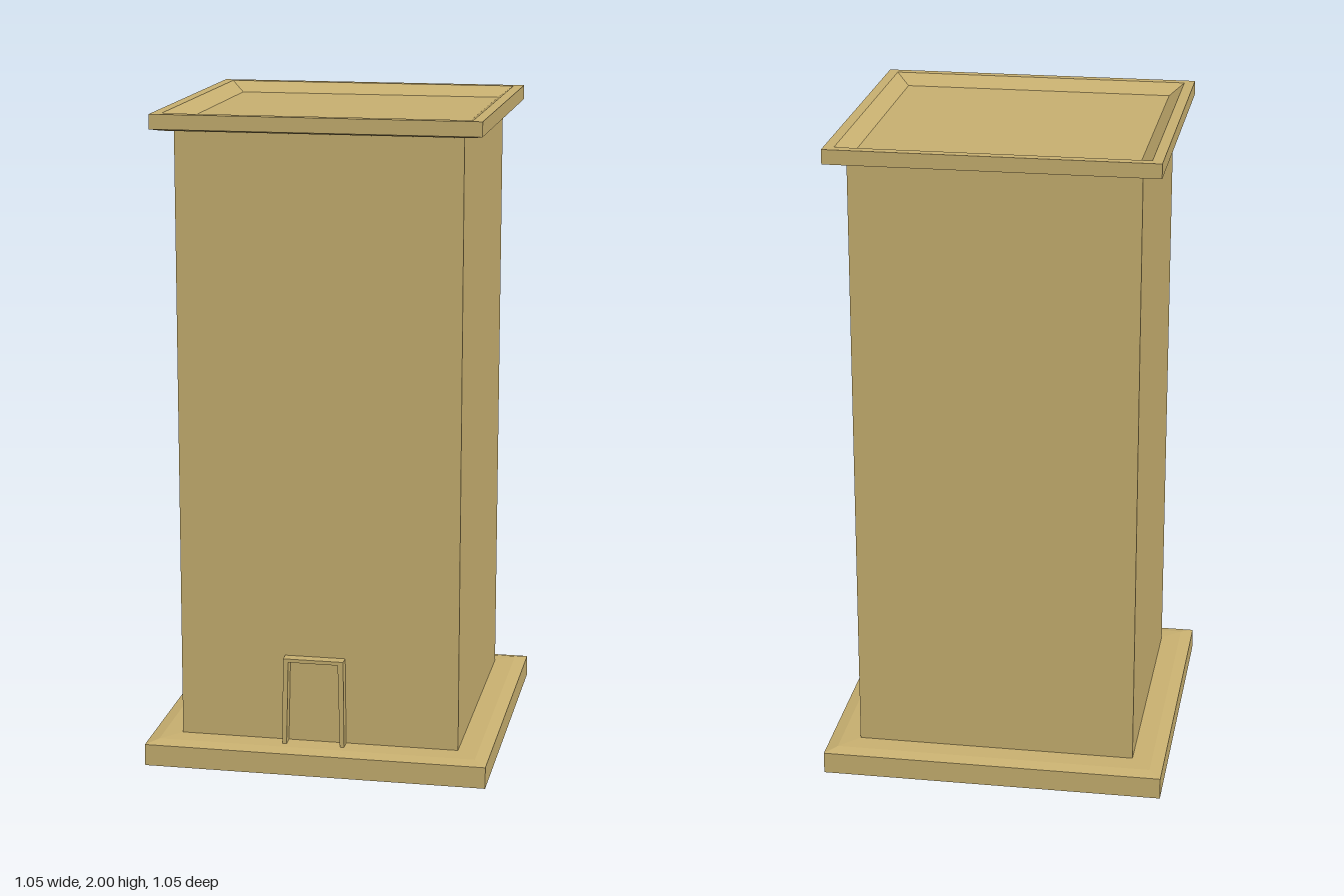
import * as THREE from 'three';

const sandstone = new THREE.MeshStandardMaterial({ color: 0xc8b070, flatShading: true });

// Square solid swept from a profile of [half width, height] points, bottom to top
function squareSweep(name, profile) {
  const points = profile.map(([half, y]) => new THREE.Vector2(half * Math.SQRT2, y));
  const geometry = new THREE.LatheGeometry(points, 4, Math.PI / 4).toNonIndexed();
  geometry.computeVertexNormals();
  const mesh = new THREE.Mesh(geometry, sandstone);
  mesh.name = name;
  return mesh;
}

export function createModel() {
  const tower = new THREE.Group();
  tower.name = 'tower';

  // Plinth with a gently sloped top
  tower.add(squareSweep('plinth', [
    [0, 0], [0.527, 0], [0.527, 0.067], [0.49, 0.076], [0.43, 0.079],
  ]));

  // Plain shaft walls
  tower.add(squareSweep('shaft', [[0.43, 0.079], [0.43, 1.945]]));

  // Overhanging cornice, parapet with sloped inner sides, and sunken roof
  tower.add(squareSweep('corniceAndRoof', [
    [0.43, 1.945], [0.46, 1.949], [0.49, 1.956], [0.49, 2],
    [0.459, 2], [0.416, 1.968], [0, 1.968],
  ]));

  // Door surround: outline with slightly splayed opening, open at the foot
  const outline = [
    [-0.108, 0.075], [-0.105, 0.35], [0.081, 0.35], [0.084, 0.075],
    [0.071, 0.075], [0.064, 0.339], [-0.089, 0.339], [-0.095, 0.075],
  ];
  const surround = new THREE.Shape(outline.map(([x, y]) => new THREE.Vector2(x, y)));
  const doorFrame = new THREE.Mesh(
    new THREE.ExtrudeGeometry(surround, { depth: 0.037, bevelEnabled: false }),
    sandstone,
  );
  doorFrame.name = 'doorFrame';
  doorFrame.position.z = 0.428;
  tower.add(doorFrame);

  return tower;
}
